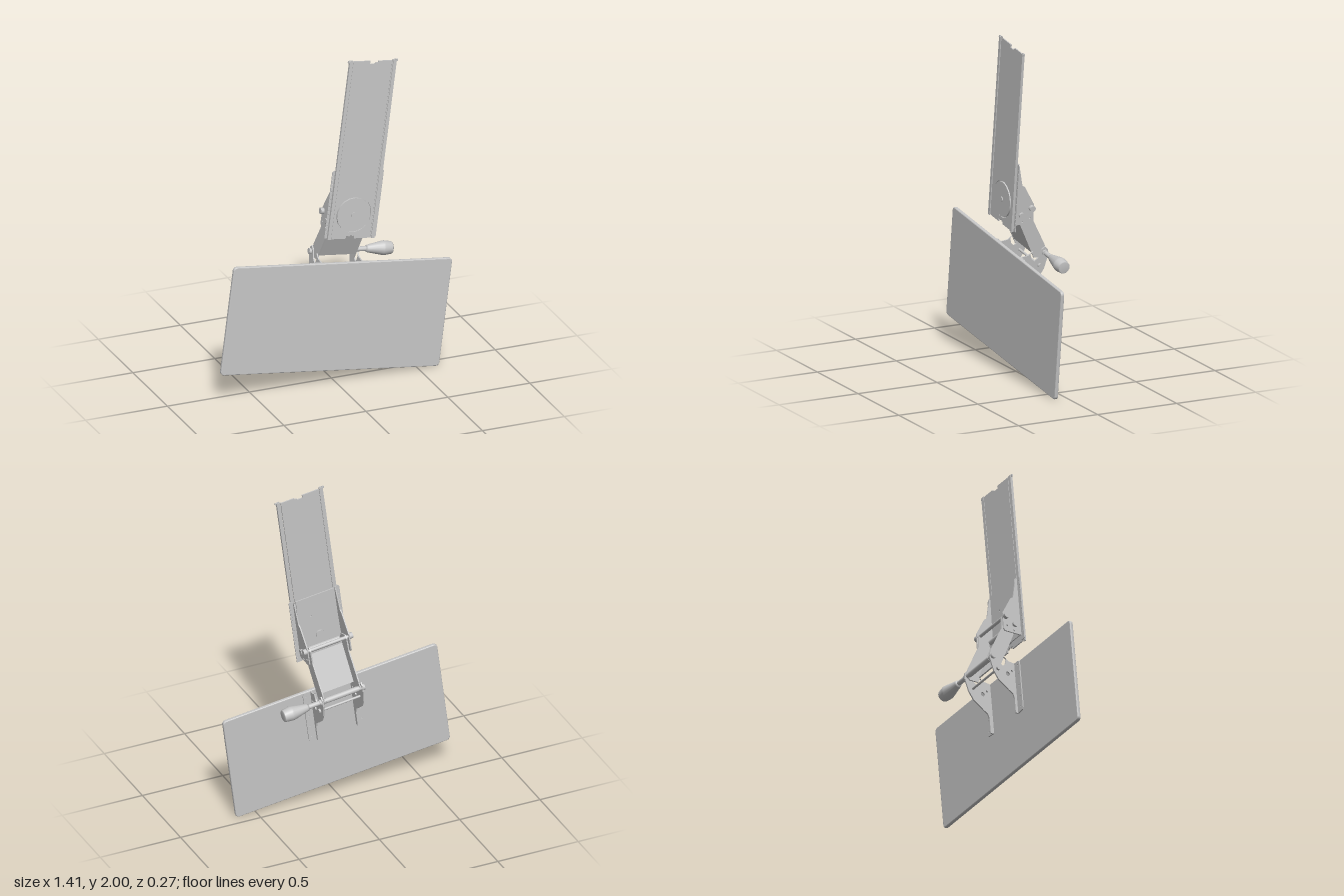
import * as THREE from 'three';

export function createModel() {
  const steel = new THREE.MeshStandardMaterial({ color: 0xc6c6c6, side: THREE.DoubleSide });
  steel.name = 'light grey steel';
  const model = new THREE.Group();
  const arm = new THREE.Group();
  arm.name = 'tiltedAssembly';
  arm.position.set(0, 0.41, 0);
  arm.rotation.z = -0.127;
  model.add(arm);

  const add = (name, geometry, x = 0, y = 0, z = 0) => {
    const mesh = new THREE.Mesh(geometry, steel);
    mesh.name = name;
    mesh.position.set(x, y, z);
    arm.add(mesh);
  };
  const box = (name, w, h, d, x, y, z) => add(name, new THREE.BoxGeometry(w, h, d), x, y, z);
  const shapeOf = (points) => new THREE.Shape(points.map(([x, y]) => new THREE.Vector2(x, y)));
  const hole = (shape, x, y, r) => shape.holes.push(new THREE.Path().absarc(x, y, r, 0, Math.PI * 2, true));
  const extrude = (shape, depth) =>
    new THREE.ExtrudeGeometry(shape, { depth, bevelEnabled: false, curveSegments: 9 });
  // Upright side plate from a (z, y) profile, centred on x
  const sidePlate = (name, profile, x, t, holes = []) => {
    const shape = shapeOf(profile.map(([z, y]) => [-z, y]));
    holes.forEach(([z, y, r]) => hole(shape, -z, y, r));
    add(name, extrude(shape, t).rotateY(Math.PI / 2), x - t / 2);
  };
  // Round bar along x
  const bar = (name, x0, x1, y, z, r, sides = 20) =>
    add(name, new THREE.CylinderGeometry(r, r, x1 - x0, sides).rotateZ(Math.PI / 2), (x0 + x1) / 2, y, z);

  // Flat tray panel with rounded corners and a small edge bevel
  const w = 0.666, h = 0.322, r = 0.016;
  const tray = new THREE.Shape();
  tray.absarc(w - r, h - r, r, 0, Math.PI / 2);
  tray.absarc(-w + r, h - r, r, Math.PI / 2, Math.PI);
  tray.absarc(-w + r, -h + r, r, Math.PI, Math.PI * 1.5);
  tray.absarc(w - r, -h + r, r, Math.PI * 1.5, Math.PI * 2);
  add('trayPanel', new THREE.ExtrudeGeometry(tray, {
    depth: 0.01, bevelThickness: 0.006, bevelSize: 0.006, bevelSegments: 3, curveSegments: 6,
  }), 0, 0, 0.063);

  // Sliding track: notched web with a raised rail on each side
  const web = shapeOf([
    [-0.119, 0.497], [-0.03, 0.497], [-0.03, 0.515], [-0.01, 0.51], [0, 0.52], [0.01, 0.51], [0.02, 0.515],
    [0.02, 0.497], [0.119, 0.497], [0.119, 1.574], [0.035, 1.574], [0.035, 1.566], [0.02, 1.566],
    [0.02, 1.558], [-0.015, 1.558], [-0.015, 1.576], [-0.119, 1.576],
  ]);
  hole(web, 0, 0.642, 0.108);
  add('trackWeb', extrude(web, 0.007), 0, 0, 0.122);
  for (const s of [-1, 1]) {
    box('trackRail', 0.02, 1.083, 0.005, s * 0.134, 1.0385, 0.1345);
    box('trackRailSide', 0.004, 1.083, 0.013, s * 0.142, 1.0385, 0.1285);
    box('trackRailBack', 0.02, 1.083, 0.003, s * 0.132, 1.0385, 0.1235);
    box('trackEndTab', 0.012, 0.012, 0.008, s * 0.147, 1.576, 0.13);
  }

  // Swivel disc and its pivot on the track face
  const disc = (name, rad, y, z, depth, sides) =>
    add(name, new THREE.CylinderGeometry(rad, rad, depth, sides).rotateX(Math.PI / 2), 0, y, z);
  disc('swivelDisc', 0.102, 0.642, 0.127, 0.012, 18);
  disc('swivelPivot', 0.015, 0.642, 0.135, 0.006, 12);
  disc('swivelNut', 0.026, 0.642, 0.103, 0.012, 16);

  // Swivel bracket: back plate, cheeks and perforated flanges
  const back = shapeOf([[-0.128, 0.53], [0.128, 0.53], [0.118, 0.905], [-0.118, 0.905]]);
  hole(back, 0.04, 0.78, 0.006);
  add('swivelBackPlate', extrude(back, 0.006), 0, 0, 0.106);
  const cheek = [
    [0.115, 0.9], [0.107, 0.905], [0.078, 0.768], [0.062, 0.758], [-0.003, 0.645],
    [-0.006, 0.545], [0.004, 0.53], [0.115, 0.53],
  ];
  for (const s of [-1, 1]) {
    sidePlate('swivelCheek', cheek, s * 0.13, 0.007, [[0.065, 0.545, 0.006], [0.02, 0.565, 0.006]]);
    const flange = shapeOf([[0.128, 0.5], [0.158, 0.5], [0.158, 0.9], [0.148, 0.91], [0.128, 0.9]]
      .map(([x, y]) => [s * x, y]));
    for (let i = 0; i < 16; i++) hole(flange, s * 0.151, 0.53 + i * 0.023, 0.003);
    add('swivelFlange', extrude(flange, 0.005), 0, 0, 0.115);
    bar('pivotBolt', s * 0.143 - 0.011, s * 0.143 + 0.011, 0.624, 0.012, 0.018, 12);
    bar('stopBolt', s * 0.139 - 0.007, s * 0.139 + 0.007, 0.588, 0.073, 0.017, 12);
  }

  // Slanted lift arm: two side plates and a web
  const link = [
    [0.088, 0.585], [0.072, 0.62], [0.012, 0.64], [-0.003, 0.625], [-0.01, 0.545],
    [-0.094, 0.385], [-0.11, 0.34], [-0.09, 0.308], [-0.032, 0.308], [0.07, 0.525],
  ];
  for (const s of [-1, 1]) sidePlate('armSide', link, s * 0.113, 0.007);
  sidePlate('armWeb', [[0.075, 0.59], [0.08, 0.555], [-0.02, 0.338], [-0.026, 0.342], [0.068, 0.556], [0.068, 0.59]], 0, 0.22);

  // Cross bars joining the plates
  bar('upperPivotRod', -0.13, 0.13, 0.624, 0.01, 0.01);
  bar('upperSpacer', -0.095, 0.095, 0.588, 0.07, 0.018);
  bar('lowerSpacer', -0.1, 0.1, 0.336, -0.095, 0.016);
  bar('lowerPivotRod', -0.142, 0.215, 0.336, -0.095, 0.014);
  bar('lowerGuideRod', -0.13, 0.13, 0.262, -0.066, 0.007);

  // Tray brackets: curved cheeks with feet screwed to the tray
  const hook = [
    [0.058, 0], [0.034, 0], [0.034, 0.095], [0.026, 0.122], [0, 0.14], [-0.065, 0.19], [-0.095, 0.24],
    [-0.115, 0.315], [-0.112, 0.355], [-0.095, 0.372], [-0.073, 0.358], [-0.055, 0.31], [-0.03, 0.29],
    [-0.012, 0.305], [-0.003, 0.34], [-0.018, 0.352], [0.012, 0.33], [0.058, 0.325],
  ];
  for (const s of [-1, 1]) {
    sidePlate('trayCheek', hook, s * 0.125, 0.008, [[0, 0.245, 0.014], [0.03, 0.27, 0.007]]);
    const foot = shapeOf([[0.122, 0], [0.17, 0.005], [0.176, 0.02], [0.176, 0.31], [0.168, 0.325], [0.122, 0.325]]
      .map(([x, y]) => [s * x, y]));
    for (const y of [0.03, 0.1, 0.17, 0.24, 0.3]) hole(foot, s * 0.158, y, 0.004);
    add('trayFoot', extrude(foot, 0.007), 0, 0, 0.05);
    bar('guideBolt', s * 0.134 - 0.006, s * 0.134 + 0.006, 0.262, -0.066, 0.013, 12);
    bar('lowerPivotBolt', s * 0.134 - 0.007, s * 0.134 + 0.007, 0.336, -0.095, 0.018, 12);
  }

  // Tapered grip on the end of the lower rod
  const grip = [[0, 0], [0.018, 0], [0.022, 0.01], [0.041, 0.1], [0.042, 0.112], [0.036, 0.155], [0.032, 0.16], [0, 0.16]];
  add('handleGrip', new THREE.LatheGeometry(grip.map(([a, b]) => new THREE.Vector2(a, b)), 16).rotateZ(-Math.PI / 2),
    0.208, 0.336, -0.095);

  return model;
}
